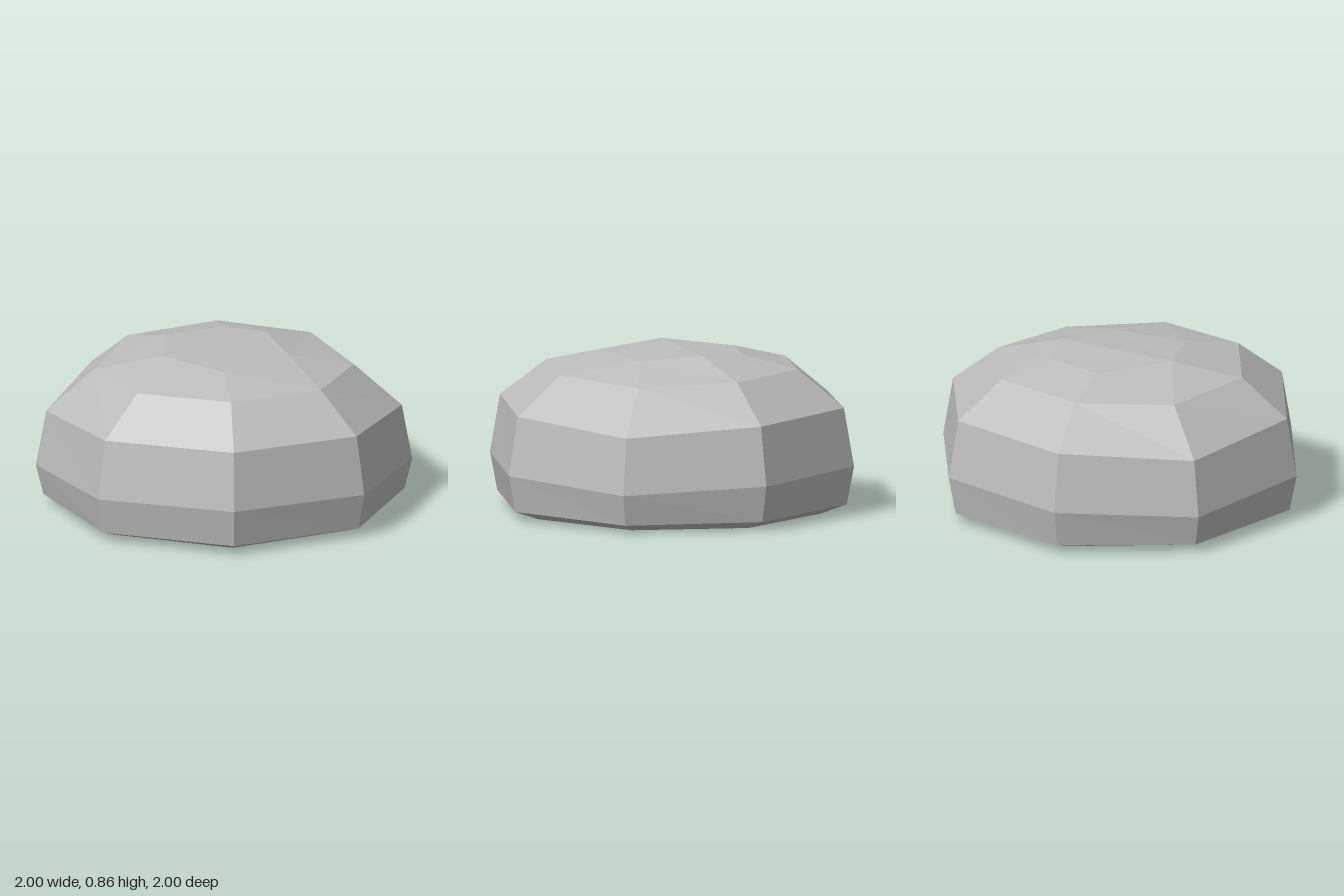
import * as THREE from 'three';

// Octagonal ring starting at +x and turning towards +z.
// Heights: on the axes, on the high diagonals, on the low diagonals.
function ring(r, axis, high, low) {
  return Array.from({ length: 8 }, (_, k) => {
    const t = (k * Math.PI) / 4;
    const y = k % 2 === 0 ? axis : k % 4 === 1 ? high : low;
    return [r * Math.cos(t), y, r * Math.sin(t)];
  });
}

export function createModel() {
  const group = new THREE.Group();
  const stone = new THREE.MeshStandardMaterial({ color: 0xbcbcbc, flatShading: true });
  stone.name = 'grey stone';

  // Irregular crown; two corners are shared by neighbouring sides
  const east = [0.3, 0.832, -0.18];
  const south = [-0.13, 0.855, 0.34];
  const north = [0, 0.855, -0.33];
  const crown = [east, [0.25, 0.835, 0.28], south, south,
    [-0.4, 0.835, 0.02], [-0.27, 0.835, -0.28], north, east];

  const rings = [
    ring(0.82, 0, 0, 0),
    ring(0.96, 0.05, 0.055, 0.045),
    ring(1, 0.245, 0.26, 0.21),
    ring(0.945, 0.56, 0.572, 0.51),
    ring(0.69, 0.762, 0.77, 0.742),
    crown,
  ];

  const positions = [];
  const tri = (a, b, c) => {
    if (a !== b && b !== c && a !== c) positions.push(...a, ...b, ...c);
  };

  // Faceted sides
  for (let i = 0; i < rings.length - 1; i++) {
    for (let k = 0; k < 8; k++) {
      const n = (k + 1) % 8;
      const [a, b, c, d] = [rings[i][k], rings[i + 1][k], rings[i + 1][n], rings[i][n]];
      tri(a, b, c);
      tri(a, c, d);
    }
  }

  // Flat base
  for (let k = 1; k < 7; k++) tri(rings[0][0], rings[0][k], rings[0][k + 1]);

  // Crown, folded along the ridge from north to south
  for (let k = 3; k < 6; k++) tri(south, crown[k + 1], crown[k]);
  tri(south, east, north);
  tri(south, crown[1], east);

  const geometry = new THREE.BufferGeometry();
  geometry.setAttribute('position', new THREE.Float32BufferAttribute(positions, 3));
  geometry.computeVertexNormals();

  const rock = new THREE.Mesh(geometry, stone);
  rock.name = 'rock';
  group.add(rock);
  return group;
}
